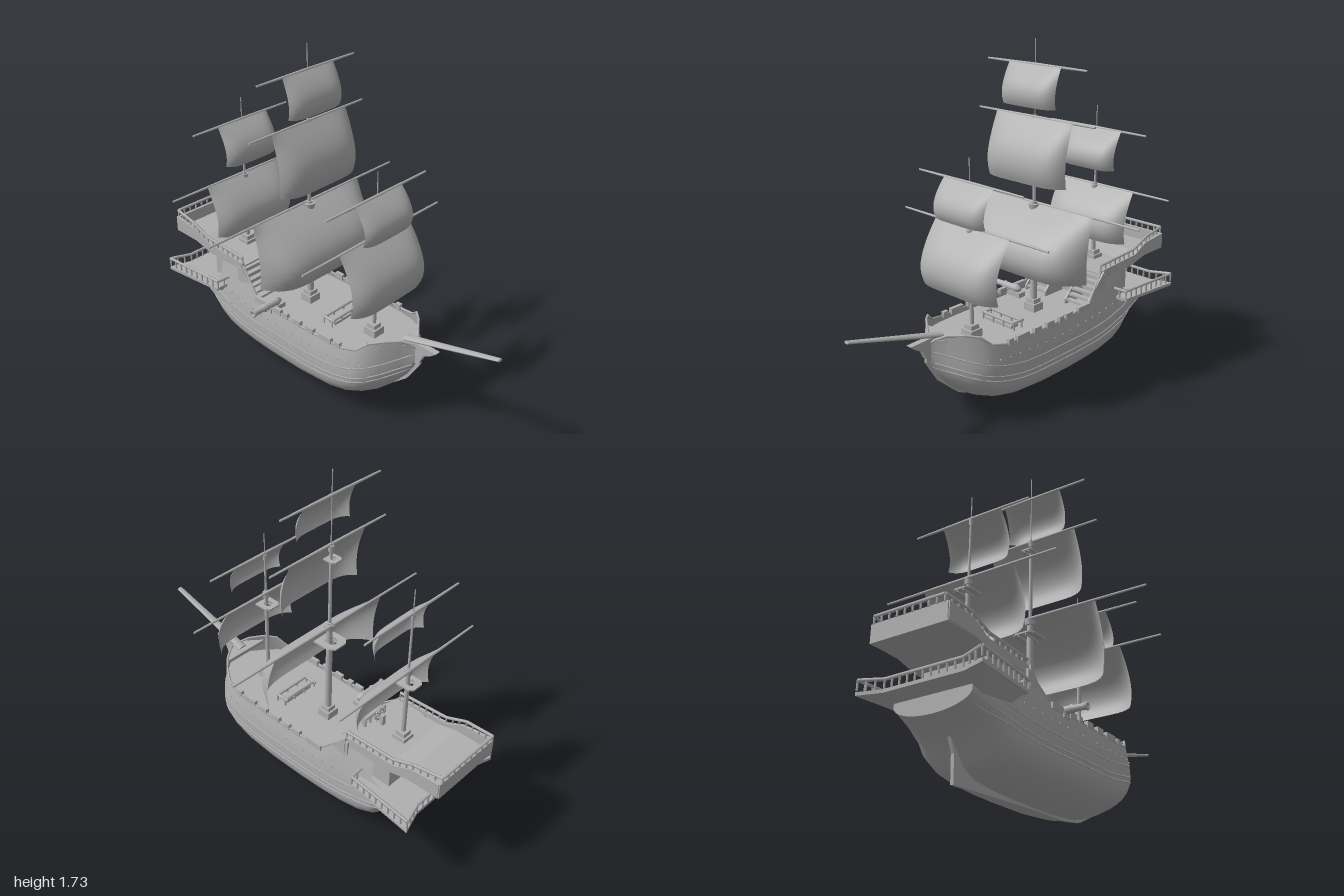
import * as THREE from 'three';
import { toCreasedNormals } from 'three/addons/utils/BufferGeometryUtils.js';
import { ConvexGeometry } from 'three/addons/geometries/ConvexGeometry.js';

const V = (x, y, z) => new THREE.Vector3(x, y, z);

// Hull stations from bow to stern: z, keel y, gunwale y, half width
const STATIONS = [
  [0.555, 0.33, 0.42, 0.012], [0.53, 0.28, 0.44, 0.035], [0.5, 0.235, 0.46, 0.08],
  [0.45, 0.175, 0.465, 0.155], [0.4, 0.13, 0.455, 0.208], [0.35, 0.1, 0.41, 0.232],
  [0.28, 0.07, 0.395, 0.245], [0.18, 0.047, 0.393, 0.25], [0, 0.035, 0.39, 0.252],
  [-0.2, 0.035, 0.395, 0.25], [-0.33, 0.037, 0.41, 0.245], [-0.45, 0.043, 0.525, 0.238],
  [-0.55, 0.055, 0.525, 0.228], [-0.62, 0.085, 0.525, 0.222], [-0.625, 0.09, 0.4, 0.222],
  [-0.66, 0.135, 0.38, 0.218], [-0.72, 0.2, 0.37, 0.212], [-0.82, 0.25, 0.34, 0.2],
];

function stationAt(z) {
  let i = 0;
  while (i < STATIONS.length - 2 && STATIONS[i + 1][0] > z) i++;
  const a = STATIONS[i], b = STATIONS[i + 1], t = (a[0] - z) / (a[0] - b[0]);
  return a.map((v, k) => v + (b[k] - v) * t);
}
const bilge = yb => yb + Math.min(0.15, (0.37 - yb) * 0.6);

// Half width of the hull at height y: round bilge below, tumblehome above
function hullX([, yb, , w], y) {
  const u = THREE.MathUtils.clamp((y - yb) / (bilge(yb) - yb), 0, 1);
  return w * Math.sqrt(1 - (1 - u) ** 2.2) * (1 - 0.8 * Math.max(0, y - 0.3));
}

// Surface through rows of points
function loft(rows, crease = 0.6) {
  const n = rows[0].length, idx = [];
  for (let i = 0; i < rows.length - 1; i++) for (let j = 0; j < n - 1; j++) {
    const a = i * n + j, c = a + n;
    idx.push(a, a + 1, c, a + 1, c + 1, c);
  }
  const g = new THREE.BufferGeometry().setFromPoints(rows.flat());
  g.setIndex(idx);
  return toCreasedNormals(g, crease);
}

export function createModel() {
  const ship = new THREE.Group();
  ship.name = 'sailingShip';
  const grey = new THREE.MeshStandardMaterial({ color: 0xb0b0b0, side: THREE.DoubleSide });
  grey.name = 'plain grey';

  const add = (name, geo, x = 0, y = 0, z = 0) => {
    const m = new THREE.Mesh(geo, grey);
    m.name = name;
    m.position.set(x, y, z);
    ship.add(m);
    return m;
  };
  const box = (name, w, h, d, x, y, z) => add(name, new THREE.BoxGeometry(w, h, d), x, y, z);
  const beam = (name, a, b, r0, r1 = r0, sides = 8) => {
    const d = b.clone().sub(a), mid = a.clone().add(b).multiplyScalar(0.5);
    const m = add(name, new THREE.CylinderGeometry(r1, r0, d.length(), sides), mid.x, mid.y, mid.z);
    m.quaternion.setFromUnitVectors(V(0, 1, 0), d.normalize());
    return m;
  };
  // Plate drawn in (z, y) and extruded across x
  const sidePlate = (name, pts, thick, x) => {
    const s = new THREE.Shape(pts.map(([z, y]) => new THREE.Vector2(-z, y)));
    const g = new THREE.ExtrudeGeometry(s, { depth: thick, bevelEnabled: false });
    g.translate(0, 0, -thick / 2).rotateY(Math.PI / 2);
    return add(name, g, x, 0, 0);
  };
  // Railing along floor points, with evenly spaced posts
  const rail = (name, pts, h, gap = 0.04) => {
    for (let i = 0; i < pts.length - 1; i++) {
      const a = pts[i], b = pts[i + 1], up = V(0, h, 0);
      beam(name + 'Top', a.clone().add(up), b.clone().add(up), 0.008, 0.008, 6);
      const n = Math.max(1, Math.round(a.distanceTo(b) / gap));
      for (let k = 0; k <= n; k++) {
        const p = a.clone().lerp(b, k / n);
        beam(name + 'Post', p, p.clone().add(up), 0.005, 0.005, 5);
      }
    }
  };

  // Hull shell
  const rows = STATIONS.map(st => {
    const [z, yb, yt] = st, ym = bilge(yb), ys = [];
    for (let i = 0; i <= 8; i++) ys.push(yb + (ym - yb) * (i / 8) ** 2);
    for (let i = 1; i <= 4; i++) ys.push(ym + (yt - ym) * i / 4);
    const half = ys.map(y => V(hullX(st, y), y, z));
    return [...half].reverse().concat(half.slice(1).map(p => V(-p.x, p.y, p.z)));
  });
  add('hull', loft(rows));
  add('transom', new ConvexGeometry(rows.at(-1).flatMap(p => [p, p.clone().add(V(0, 0, -0.005))])));

  // Main deck
  const deckZ = STATIONS.map(s => s[0]).filter(z => z > -0.7);
  add('deck', loft(deckZ.map(z => {
    const x = hullX(stationAt(z), 0.365) - 0.004;
    return [V(-x, 0.365, z), V(x, 0.365, z)];
  })));

  // Wales, gunwale, bulwark blocks and rivet rows
  for (const s of [-1, 1]) {
    for (const base of [0.19, 0.215, 0.27]) {
      const pts = [];
      for (let z = 0.54; z > -0.82; z -= 0.04) {
        const y = base + 0.45 * Math.max(0, z - 0.05) ** 2 + 0.34 * Math.max(0, -0.3 - z) ** 2;
        pts.push(V(s * hullX(stationAt(z), y), y, z));
      }
      add('wale', new THREE.TubeGeometry(new THREE.CatmullRomCurve3(pts), 50, 0.004, 5));
    }
    const top = STATIONS.slice(0, 14).map(st => V(s * (hullX(st, st[2]) - 0.003), st[2], st[0]));
    for (let i = 0; i < top.length - 1; i++) beam('gunwale', top[i], top[i + 1], 0.006, 0.006, 6);
    for (const [z, len] of [[0.25, 0.03], [0.17, 0.08], [0.07, 0.05], [-0.02, 0.05], [-0.1, 0.03], [-0.16, 0.05], [-0.28, 0.09]])
      box('bulwarkBlock', 0.02, 0.03, len, s * (hullX(stationAt(z), 0.39) - 0.005), 0.4, z);
    for (let z = 0.44; z > -0.56; z -= 0.06)
      box('rivet', 0.006, 0.006, 0.007, s * hullX(stationAt(z), 0.325), 0.325 + 0.08 * z * z, z);
  }

  // Keel, rudder and stem
  sidePlate('keel', [[0.57, 0.4], [0.575, 0.33], [0.5, 0.21], [0.38, 0.105], [0.26, 0.05], [0.12, 0.03],
    [-0.15, 0.026], [-0.68, 0.005], [-0.685, 0.13], [-0.72, 0.21], [-0.6, 0.09], [-0.4, 0.05], [0, 0.045], [0.2, 0.06], [0.45, 0.21], [0.53, 0.32]], 0.016, 0);
  sidePlate('beakhead', [[0.5, 0.45], [0.67, 0.445], [0.64, 0.42], [0.6, 0.4], [0.575, 0.35], [0.53, 0.32]], 0.03, 0);
  add('bowPlatform', new ConvexGeometry([0.42, 0.44].flatMap(y =>
    [V(-0.13, y, 0.45), V(0.13, y, 0.45), V(-0.025, y, 0.54), V(0.025, y, 0.54)])));
  beam('bowsprit', V(0, 0.44, 0.48), V(0, 0.58, 0.998), 0.026, 0.015, 10).scale.z = 0.45;

  // Masts: z, then pole sections [y0, y1, radius], then heights of the tops
  const masts = [
    [0.28, [[0.36, 0.91, 0.011], [0.9, 1.13, 0.006], [1.12, 1.24, 0.003]], [0.83]],
    [-0.155, [[0.36, 0.94, 0.018], [0.92, 1.37, 0.009], [1.36, 1.73, 0.003]], [0.83, 1.29]],
    [-0.63, [[0.5, 0.94, 0.012], [0.92, 1.24, 0.006], [1.23, 1.35, 0.003]], [0.855]],
  ];
  for (const [z, poles, tops] of masts) {
    for (const [y0, y1, r] of poles) beam('mast', V(0, y0, z), V(0, y1, z), r, r * 0.85, 12);
    box('mastStep', 0.07, 0.04, 0.07, 0, poles[0][0] + 0.025, z);
    box('mastCollar', 0.05, 0.025, 0.05, 0, poles[0][0] + 0.055, z);
    for (const [, y1, r] of poles.slice(0, 2))
      add('mastCap', new THREE.CylinderGeometry(r * 1.6, r * 1.4, 0.03, 10), 0, y1 - 0.025, z);
    for (const y of tops) {
      const w = y > 1 ? 0.032 : z === -0.155 ? 0.06 : 0.045;
      const s = new THREE.Shape([[-w, -w], [w, -w], [w, w * 0.6], [w * 0.6, w], [-w * 0.6, w], [-w, w * 0.6]].map(p => new THREE.Vector2(...p)));
      s.holes.push(new THREE.Path().absarc(0, 0, w * 0.5, 0, Math.PI * 2, true));
      const g = new THREE.ExtrudeGeometry(s, { depth: 0.008, bevelEnabled: false, curveSegments: 6 });
      add('mastTop', g.rotateX(-Math.PI / 2), 0, y, z - 0.015);
      for (const d of [-1, 1]) box('mastTopBrace', 0.006, 0.008, w * 1.8, d * w * 0.35, y - 0.004, z - 0.015);
    }
  }

  // Sails with yards: z, top y, bottom y, half width, edge reach, centre reach, yard half length
  const sails = [
    [0.275, 0.905, 0.61, 0.25, 0.09, 0.155, 0.47], [0.29, 1.125, 0.945, 0.165, 0.065, 0.1, 0.34],
    [-0.165, 0.93, 0.61, 0.37, 0.05, 0.205, 0.62], [-0.145, 1.362, 1.06, 0.25, 0.055, 0.125, 0.37],
    [-0.15, 1.61, 1.42, 0.168, 0.045, 0.09, 0.31],
    [-0.635, 0.93, 0.67, 0.25, 0.075, 0.145, 0.455], [-0.625, 1.235, 1.04, 0.165, 0.06, 0.11, 0.31],
  ];
  for (const [z, y0, y1, w, edge, mid, yard] of sails) {
    const grid = [];
    for (let i = 0; i <= 14; i++) {
      const v = i / 14, curve = Math.sin(v * Math.PI * 0.68), row = [];
      for (let j = 0; j <= 20; j++) {
        const t = Math.cos(j / 20 * Math.PI);
        const reach = edge + (mid - edge) * (1 - Math.abs(t) ** 6);
        row.push(V(w * t * (0.97 + 0.03 * curve), y0 + (y1 - y0) * v, z + reach * curve));
      }
      grid.push(row);
    }
    add('sail', loft(grid, 1.2));
    for (const s of [-1, 1]) beam('yard', V(0, y0, z - 0.006), V(s * yard, y0, z - 0.006), 0.008, 0.005);
  }

  // Stern cabin and the gallery around it
  box('cabin', 0.34, 0.16, 0.17, 0, 0.44, -0.615);
  box('cabinDoor', 0.07, 0.11, 0.008, 0, 0.425, -0.703);
  const ring = (y, x0, z0, x1, z1) => [V(x0, y, z0), V(-x0, y, z0), V(x1, y, z1), V(-x1, y, z1)];
  add('galleryBracket', new ConvexGeometry([...ring(0.305, 0.2, -0.61, 0.2, -0.77), ...ring(0.36, 0.27, -0.58, 0.3, -0.885)]));
  const edgeRight = [[0.2, -0.565], [0.28, -0.57], [0.315, -0.925], [0.2, -0.89]];
  const galleryEdge = [...edgeRight, ...edgeRight.map(([x, z]) => [-x, z]).reverse()];
  const floor = new THREE.Shape(galleryEdge.map(([x, z]) => new THREE.Vector2(x, -z)));
  add('galleryFloor', new THREE.ExtrudeGeometry(floor, { depth: 0.016, bevelEnabled: false }).rotateX(-Math.PI / 2), 0, 0.358, 0);
  rail('galleryRail', galleryEdge.map(([x, z]) => V(x * 0.985, z < -0.9 ? 0.38 : 0.372, z + 0.004)), 0.045);

  // Poop deck with side walls and railings
  sidePlate('poopDeck', [[-0.45, 0.5], [-0.7, 0.5], [-0.82, 0.53], [-0.985, 0.53], [-0.985, 0.55], [-0.8, 0.55], [-0.7, 0.525], [-0.45, 0.525]], 0.39, 0);
  for (const s of [-1, 1]) {
    sidePlate('poopWall', [[-0.45, 0.5], [-0.7, 0.5], [-0.82, 0.53], [-0.985, 0.535], [-0.985, 0.615],
      [-0.83, 0.6], [-0.74, 0.555], [-0.45, 0.54]], 0.015, s * 0.192);
    rail('poopRail', [V(s * 0.192, 0.535, -0.455), V(s * 0.192, 0.55, -0.73), V(s * 0.192, 0.595, -0.84), V(s * 0.18, 0.612, -0.99)], 0.034);
    rail('poopFrontRail', [V(s * 0.07, 0.525, -0.46), V(0, 0.525, -0.46)], 0.045);
  }
  box('sternWall', 0.39, 0.085, 0.015, 0, 0.572, -0.982);
  rail('sternRail', [V(-0.18, 0.612, -0.99), V(0.18, 0.612, -0.99)], 0.034);
  box('bulkhead', 0.42, 0.15, 0.02, 0, 0.445, -0.465);

  // Twin stairs up to the poop deck
  for (const s of [-1, 1]) {
    for (let i = 0; i < 6; i++) box('stair', 0.13, 0.012, 0.028, s * 0.14, 0.385 + i * 0.025, -0.34 - i * 0.021);
    for (const x of [0.07, 0.207])
      sidePlate('stairSide', [[-0.32, 0.365], [-0.32, 0.39], [-0.46, 0.54], [-0.46, 0.365]], 0.01, s * x);
  }

  // Steering wheel
  box('wheelStand', 0.02, 0.06, 0.02, 0, 0.55, -0.505);
  add('wheelRim', new THREE.TorusGeometry(0.027, 0.004, 6, 18), 0, 0.575, -0.488);
  for (let i = 0; i < 4; i++) {
    const a = i * Math.PI / 4, c = Math.cos(a) * 0.04, d = Math.sin(a) * 0.04;
    beam('wheelSpoke', V(-c, 0.575 - d, -0.488), V(c, 0.575 + d, -0.488), 0.003, 0.003, 5);
  }

  // Cannon over the rail
  const barrel = [[0, 0], [0.012, 0.002], [0.02, 0.02], [0.024, 0.03], [0.019, 0.04], [0.018, 0.1], [0.022, 0.11], [0.016, 0.12], [0.015, 0.17], [0.021, 0.185], [0.011, 0.19], [0, 0.17]];
  add('cannonBarrel', new THREE.LatheGeometry(barrel.map(p => new THREE.Vector2(...p)), 14), -0.155, 0.408, -0.22).rotation.z = Math.PI / 2;
  box('cannonCarriage', 0.1, 0.025, 0.045, -0.19, 0.382, -0.22);

  // Deck hatch frame and pin rails
  box('hatch', 0.17, 0.015, 0.05, 0, 0.372, 0.075);
  for (const z of [0.045, 0.1]) rail('hatchRail', [V(-0.105, 0.365, z), V(0.105, 0.365, z)], 0.035, 0.07);
  for (const s of [-1, 1]) beam('hatchSide', V(s * 0.1, 0.4, 0.03), V(s * 0.1, 0.4, 0.11), 0.007);
  return ship;
}
